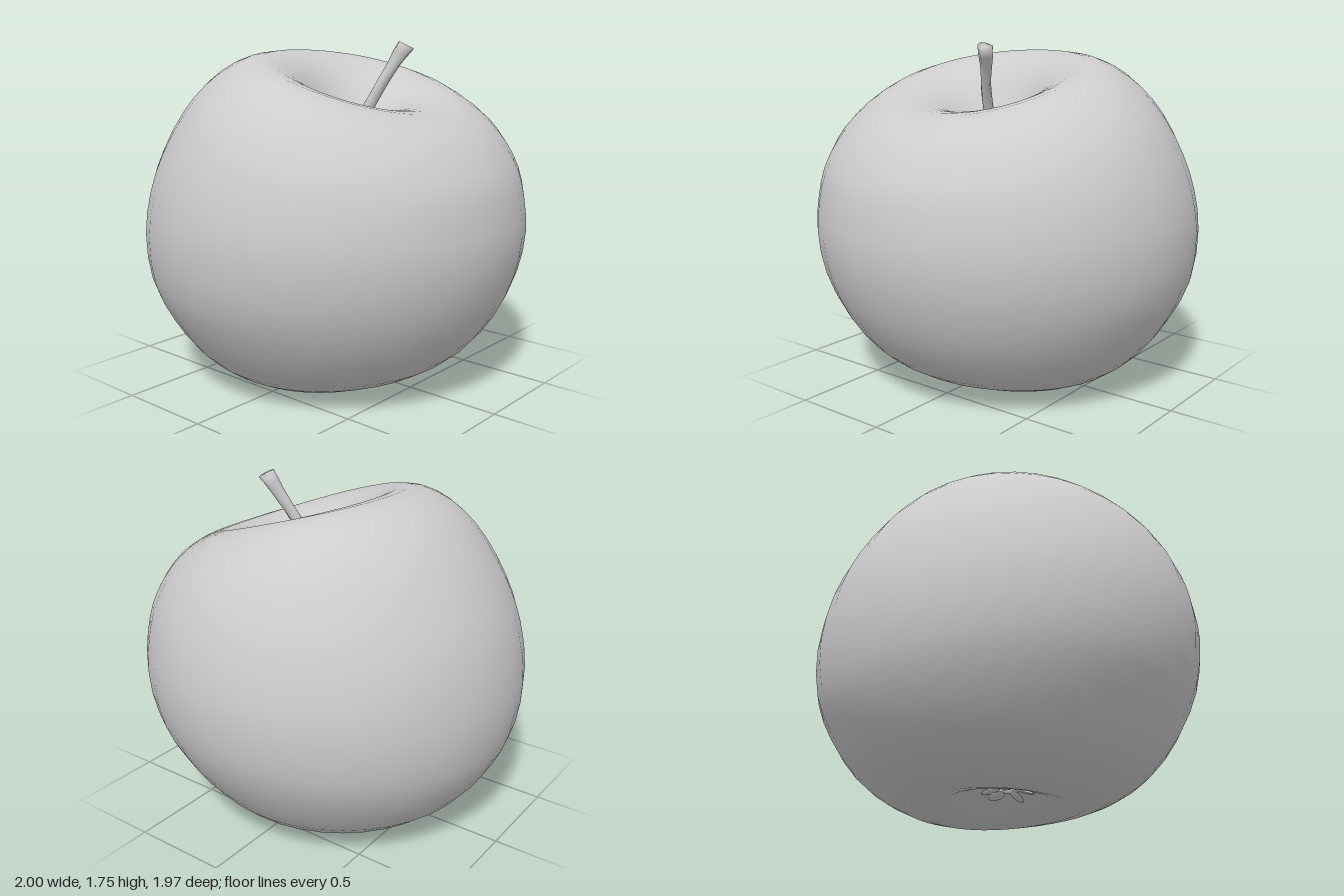
import * as THREE from 'three';
import { ParametricGeometry } from 'three/addons/geometries/ParametricGeometry.js';
import { mergeVertices } from 'three/addons/utils/BufferGeometryUtils.js';

// Rings from the stem cavity, over the rim, down to the calyx hollow:
// front z, front y, back z, back y, half width, side y
const rings = [
  [0.10, 1.27, 0.10, 1.27, 0.00, 1.27],
  [0.16, 1.29, 0.05, 1.29, 0.05, 1.29],
  [0.24, 1.34, -0.02, 1.38, 0.13, 1.36],
  [0.36, 1.41, -0.10, 1.53, 0.24, 1.47],
  [0.48, 1.43, -0.20, 1.65, 0.36, 1.54],
  [0.60, 1.42, -0.33, 1.70, 0.50, 1.58],
  [0.70, 1.38, -0.48, 1.665, 0.63, 1.54],
  [0.80, 1.31, -0.62, 1.57, 0.75, 1.45],
  [0.88, 1.21, -0.74, 1.43, 0.85, 1.33],
  [0.94, 1.10, -0.86, 1.23, 0.93, 1.17],
  [0.97, 0.97, -0.94, 1.03, 0.98, 1.00],
  [0.985, 0.80, -0.985, 0.77, 1.00, 0.82],
  [0.95, 0.60, -0.965, 0.53, 0.97, 0.58],
  [0.86, 0.39, -0.90, 0.36, 0.87, 0.37],
  [0.72, 0.21, -0.78, 0.19, 0.74, 0.19],
  [0.55, 0.09, -0.62, 0.075, 0.60, 0.075],
  [0.37, 0.03, -0.47, 0.03, 0.42, 0.004],
  [0.22, 0.04, -0.33, 0.04, 0.28, 0.03],
  [0.10, 0.085, -0.20, 0.09, 0.15, 0.085],
  [0.00, 0.13, -0.12, 0.13, 0.05, 0.13],
  [-0.05, 0.14, -0.05, 0.14, 0.00, 0.14],
];

// Closed smooth surface: fn(angle, v, target), v running from top to bottom
function surface(fn, around, along) {
  const g = new ParametricGeometry((u, v, p) => fn(-u * Math.PI * 2, v, p), around, along);
  g.deleteAttribute('normal');
  g.deleteAttribute('uv');
  const merged = mergeVertices(g, 1e-5);
  merged.computeVertexNormals();
  return merged;
}

function bodyGeometry() {
  const curve = (a, b) => new THREE.CatmullRomCurve3(rings.map(r => new THREE.Vector3(r[a], r[b], 0)));
  const front = curve(0, 1), back = curve(2, 3), side = curve(4, 5);
  return surface((angle, v, p) => {
    const f = front.getPoint(v), b = back.getPoint(v), s = side.getPoint(v);
    const c = Math.cos(angle);
    // blend the four meridians smoothly around the axis
    const y = (f.y + b.y + 2 * s.y) / 4 + c * (f.y - b.y) / 2
      + Math.cos(2 * angle) * (f.y + b.y - 2 * s.y) / 4;
    p.set(s.x * Math.sin(angle), y, (f.x + b.x) / 2 + c * (f.x - b.x) / 2);
  }, 40, 40);
}

function stemGeometry() {
  const path = new THREE.CatmullRomCurve3([
    [0.13, 1.735, 0.345], [0.10, 1.64, 0.295], [0.05, 1.52, 0.235], [0.01, 1.37, 0.165], [-0.02, 1.25, 0.12],
  ].map(a => new THREE.Vector3(...a)));
  const radii = [0, 0.038, 0.034, 0.028, 0.026, 0.025, 0.025, 0.026, 0.03, 0.042, 0.055];
  const n = radii.length - 1;
  return surface((angle, v, p) => {
    const i = Math.round(v * n);
    // the first two rings share one level and close the tip
    const t = Math.max(0, i - 1) / (n - 1);
    const r = radii[i] * (1 + 0.12 * Math.sin(3 * angle + i));
    p.copy(path.getPoint(t));
    p.x += r * Math.sin(angle);
    p.z += r * Math.cos(angle);
    p.y -= r * 0.35 * (Math.sin(angle) + Math.cos(angle));
  }, 10, n);
}

export function createModel() {
  const group = new THREE.Group();
  const grey = new THREE.MeshStandardMaterial({ color: 0xcccccc });
  grey.name = 'plain grey';
  const add = (name, geometry, parent = group) => {
    const mesh = new THREE.Mesh(geometry, grey);
    mesh.name = name;
    parent.add(mesh);
    return mesh;
  };

  add('body', bodyGeometry());
  add('stem', stemGeometry());

  // Dried blossom in the hollow underneath
  const calyx = new THREE.Group();
  calyx.name = 'calyx';
  calyx.position.set(-0.05, 0.11, -0.05);
  group.add(calyx);
  const ring = add('calyxRing', new THREE.TorusGeometry(0.055, 0.018, 6, 14), calyx);
  ring.rotation.x = Math.PI / 2;
  for (let i = 0; i < 5; i++) {
    const pivot = new THREE.Group();
    pivot.name = 'sepalPivot';
    pivot.rotation.y = i * Math.PI * 2 / 5 + 0.3;
    calyx.add(pivot);
    const sepal = add('sepal', new THREE.SphereGeometry(1, 8, 6), pivot);
    sepal.scale.set(0.032, 0.01, 0.055);
    sepal.position.set(0, -0.025, 0.085);
    sepal.rotation.set(0.35 - 0.2 * (i % 2), 0, 0.25);
  }
  return group;
}
